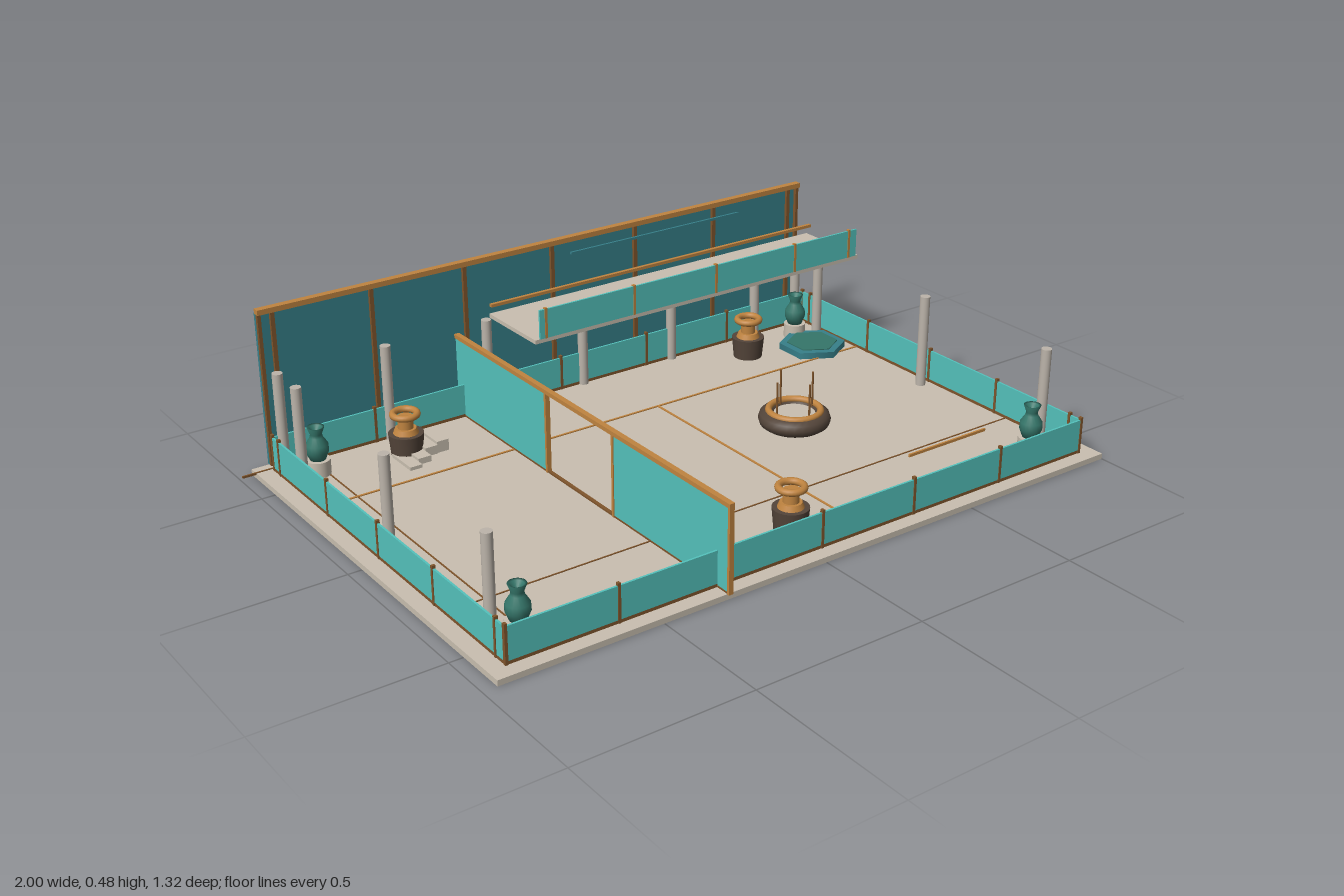
import * as THREE from 'three';

const mat = (name, color, side = THREE.FrontSide) => {
  const m = new THREE.MeshStandardMaterial({ color, side });
  m.name = name;
  return m;
};

export function createModel() {
  const root = new THREE.Group();
  const stone = mat('stone', 0xc9bfb0);
  const pale = mat('pale stone', 0xbcb4aa);
  const teal = mat('light teal', 0x54c2bc);
  const deep = mat('deep teal', 0x37808a);
  const bronze = mat('bronze', 0xc08440);
  const brown = mat('dark bronze', 0x80552c);
  const dark = mat('dark clay', 0x54453a);
  const green = mat('vase green', 0x35766a, THREE.DoubleSide);

  const add = (name, geo, m, x = 0, y = 0, z = 0, parent = root) => {
    const mesh = new THREE.Mesh(geo, m);
    mesh.name = name;
    mesh.position.set(x, y, z);
    parent.add(mesh);
    return mesh;
  };
  // box given by its min and max on each axis
  const box = (name, m, x0, x1, y0, y1, z0, z1, parent = root) =>
    add(name, new THREE.BoxGeometry(x1 - x0, y1 - y0, z1 - z0), m,
      (x0 + x1) / 2, (y0 + y1) / 2, (z0 + z1) / 2, parent);
  const cyl = (name, m, r0, r1, y0, y1, x, z, n = 20, parent = root) =>
    add(name, new THREE.CylinderGeometry(r1, r0, y1 - y0, n), m, x, (y0 + y1) / 2, z, parent);
  const ring = (name, m, R, r, x, y, z, parent = root) => {
    const t = add(name, new THREE.TorusGeometry(R, r, 10, 28), m, x, y, z, parent);
    t.rotation.x = Math.PI / 2;
    return t;
  };
  const group = (name, x = 0, z = 0) => {
    const g = new THREE.Group();
    g.name = name;
    g.position.set(x, 0, z);
    root.add(g);
    return g;
  };

  // floor slab with inlaid strips
  const F = 0.016;
  box('floor', stone, -0.96, 1, 0, F, -0.65, 0.65);
  box('floorInlayBack', bronze, -0.91, 0.95, F, F + 0.003, -0.335, -0.329);
  box('floorInlayMiddle', bronze, 0.178, 0.184, F, F + 0.003, -0.33, 0.6);
  box('floorInlayFront', brown, -0.91, 0.95, F, F + 0.002, 0.323, 0.327);
  box('floorInlaySide', brown, -0.802, -0.798, F, F + 0.002, -0.6, 0.6);
  box('floorRod', bronze, 0.55, 0.84, F, F + 0.008, 0.347, 0.353);
  box('backGroundRod', brown, -1, -0.88, F - 0.004, F + 0.002, -0.623, -0.618);

  // low perimeter walls with slim posts
  const low = group('lowWalls');
  const X0 = -0.91, X1 = 0.95, Z = 0.605;
  for (const z of [-Z, Z]) {
    box('lowWallLong', teal, X0, X1, 0.025, 0.117, z - 0.003, z + 0.003, low);
    box('lowWallSill', brown, X0, X1, F, 0.025, z - 0.003, z + 0.003, low);
    for (let i = 0; i <= 6; i++) {
      const x = X0 + i * 0.31;
      box('lowWallPost', brown, x - 0.004, x + 0.004, F, 0.125, z - 0.005, z + 0.005, low);
    }
  }
  for (const x of [X0, X1]) {
    box('lowWallSide', teal, x - 0.003, x + 0.003, 0.025, 0.117, -Z, Z, low);
    box('lowWallSill', brown, x - 0.003, x + 0.003, F, 0.025, -Z, Z, low);
    for (const z of [-0.565, -0.28, 0, 0.28, 0.565])
      box('lowWallPost', brown, x - 0.005, x + 0.005, F, 0.125, z - 0.004, z + 0.004, low);
  }

  // tall back wall with battens and cap
  const back = group('backWall');
  box('backPanel', deep, -0.91, 0.94, 0.02, 0.466, -0.65, -0.639, back);
  box('backCap', bronze, -0.91, 0.945, 0.464, 0.479, -0.647, -0.626, back);
  for (let i = 0; i < 7; i++) {
    const x = -0.866 + i * 0.2945;
    box('backBatten', brown, x - 0.006, x + 0.006, 0.02, 0.466, -0.639, -0.63, back);
  }
  for (const x of [-0.905, 0.935])
    box('backEndPost', brown, x - 0.005, x + 0.005, 0.02, 0.466, -0.639, -0.628, back);
  box('backBracket', pale, 0.85, 0.94, 0.04, 0.05, -0.642, -0.61, back);

  // divider screen with an open doorway in the middle
  const div = group('divider', -0.308);
  for (const s of [-1, 1]) {
    const [a, b] = s < 0 ? [-0.65, -0.16] : [0.16, 0.65];
    box('dividerPanel', teal, -0.004, 0.004, 0.02, 0.253, a, b, div);
    for (const z of [0.16 * s, 0.654 * s])
      box('dividerPost', bronze, -0.007, 0.007, F, 0.26, z - 0.004, z + 0.004, div);
  }
  box('dividerCap', bronze, -0.008, 0.008, 0.252, 0.264, -0.658, 0.658, div);
  box('dividerSill', brown, -0.005, 0.005, F, 0.021, -0.655, 0.655, div);

  // round columns along the back and both sides
  for (const x of [-0.88, -0.555, -0.23, 0.098, 0.424, 0.75, 0.915])
    cyl('backColumn', pale, 0.015, 0.015, F, 0.3, x, -0.603);
  for (const x of [-0.88, 0.915])
    for (const z of [-0.49, 0, 0.49]) cyl('sideColumn', pale, 0.015, 0.015, F, 0.3, x, z);

  // raised gallery with a parapet
  const gal = group('gallery');
  box('galleryDeck', stone, -0.22, 0.955, 0.305, 0.317, -0.6, -0.352, gal);
  box('galleryParapet', teal, -0.205, 0.945, 0.317, 0.403, -0.356, -0.35, gal);
  for (const x of [-0.185, 0.113, 0.405, 0.702, 0.915])
    box('parapetPost', bronze, x - 0.004, x + 0.004, 0.317, 0.407, -0.358, -0.348, gal);
  box('galleryRail', bronze, -0.22, 0.96, 0.34, 0.349, -0.596, -0.585, gal);
  box('hangingRod', deep, 0.04, 0.65, 0.451, 0.458, -0.57, -0.563, gal);

  // vases on round plinths
  const vaseProfile = [[0, 0.06], [0.022, 0.06], [0.032, 0.085], [0.031, 0.105], [0.018, 0.126],
    [0.016, 0.135], [0.024, 0.156], [0.017, 0.154], [0, 0.132]].map(p => new THREE.Vector2(...p));
  for (const x of [-0.82, 0.85])
    for (const z of [-0.52, 0.515]) {
      const g = group('vaseOnPlinth', x, z);
      cyl('plinth', stone, 0.034, 0.034, F, 0.06, 0, 0, 20, g);
      add('vase', new THREE.LatheGeometry(vaseProfile, 20), green, 0, 0, 0, g);
    }

  // braziers with a bronze hoop on top
  for (const [x, z] of [[-0.565, -0.49], [0.02, 0.48], [0.63, -0.48]]) {
    const g = group('brazier', x, z);
    cyl('brazierBody', dark, 0.044, 0.05, F, 0.08, 0, 0, 24, g);
    cyl('brazierCollar', bronze, 0.036, 0.03, 0.08, 0.095, 0, 0, 24, g);
    cyl('brazierNeck', bronze, 0.022, 0.022, 0.095, 0.13, 0, 0, 24, g);
    ring('brazierHoop', bronze, 0.034, 0.01, 0, 0.136, 0, g);
  }

  // round hearth with four upright rods
  const hearth = group('hearth', 0.425, 0);
  ring('hearthBase', dark, 0.08, 0.025, 0, 0.04, 0, hearth);
  ring('hearthRim', bronze, 0.075, 0.01, 0, 0.064, 0, hearth);
  cyl('hearthBed', stone, 0.066, 0.066, F, 0.055, 0, 0, 28, hearth);
  for (let i = 0; i < 4; i++) {
    const a = i * Math.PI / 2;
    cyl('hearthRod', brown, 0.003, 0.003, 0.05, 0.165, 0.065 * Math.cos(a), 0.065 * Math.sin(a), 8, hearth);
  }

  // six-sided basin
  const basin = group('basin', 0.832, -0.41);
  cyl('basinBody', deep, 0.104, 0.104, F, 0.036, 0, 0, 6, basin);
  cyl('basinTop', green, 0.08, 0.08, 0.036, 0.039, 0, 0, 6, basin);

  // low steps beside the back brazier
  [[-0.612, -0.575, -0.49, -0.385], [-0.575, -0.535, -0.5, -0.405],
    [-0.535, -0.497, -0.515, -0.437], [-0.497, -0.46, -0.53, -0.44]].forEach(([a, b, c, d], i) =>
    box('step', stone, a, b, F, 0.026 + i * 0.008, c, d));

  return root;
}
